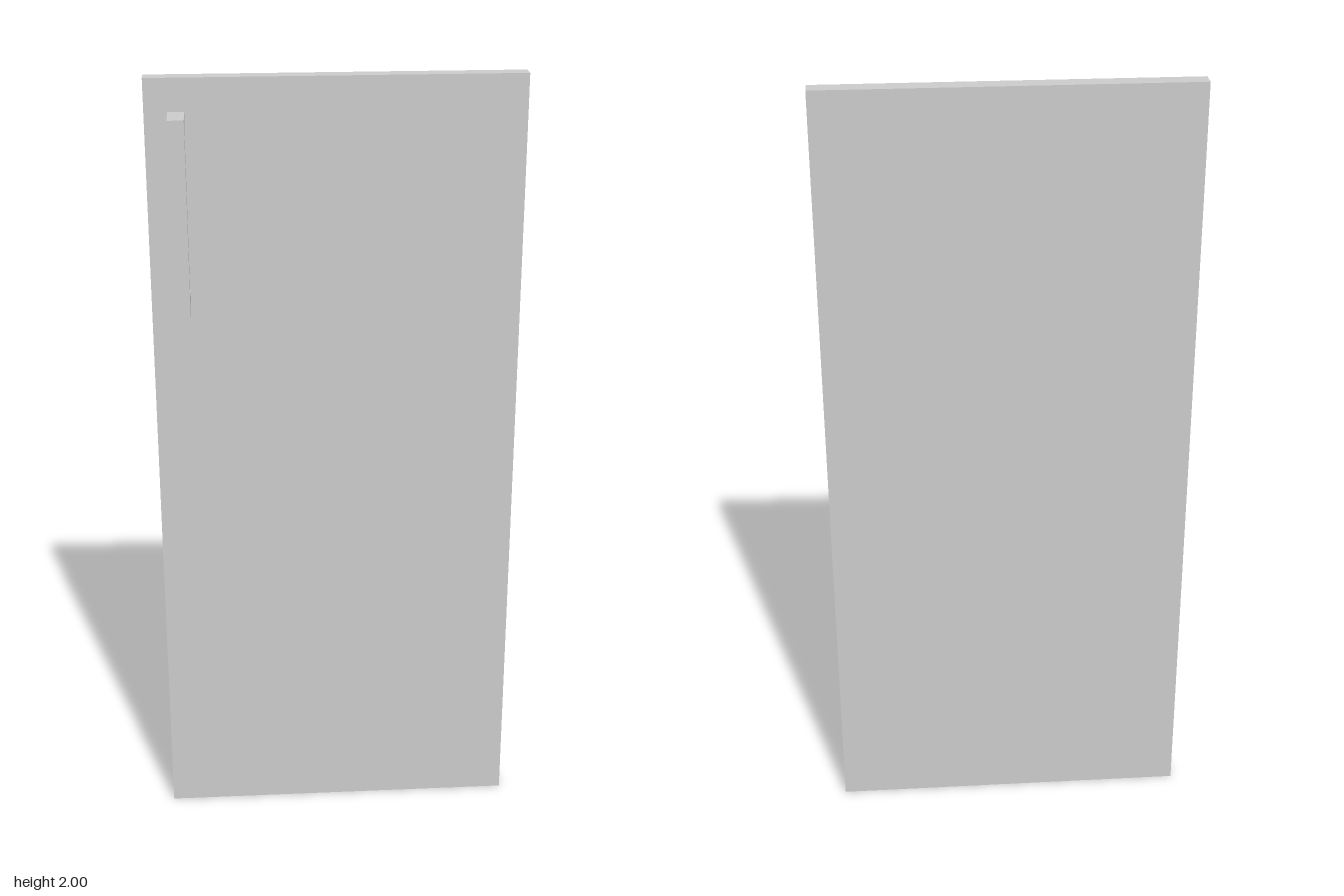
import * as THREE from 'three';

const material = new THREE.MeshStandardMaterial({ color: 0xcccccc, flatShading: true });

export function createModel() {
  const group = new THREE.Group();
  group.name = 'cabinetDoor';

  // Flat door panel
  const back = -0.071, face = -0.027;
  const panel = new THREE.Mesh(new THREE.BoxGeometry(0.916, 2, face - back), material);
  panel.name = 'doorPanel';
  panel.position.set(0, 1, (back + face) / 2);
  group.add(panel);

  // C-shaped pull handle: side profile (z, y) extruded across its width
  const front = 0.071, inner = 0.026, bottom = 1.444, top = 1.92, foot = 0.037;
  const profile = new THREE.Shape([
    [face, bottom], [front, bottom], [front, top], [face, top],
    [face, top - foot], [inner, top - foot], [inner, bottom + foot], [face, bottom + foot],
  ].map(([z, y]) => new THREE.Vector2(z, y)));
  const handle = new THREE.Mesh(
    new THREE.ExtrudeGeometry(profile, { depth: 0.04, bevelEnabled: false }), material);
  handle.name = 'pullHandle';
  handle.rotation.y = -Math.PI / 2;
  handle.position.x = -0.362;
  group.add(handle);

  return group;
}
